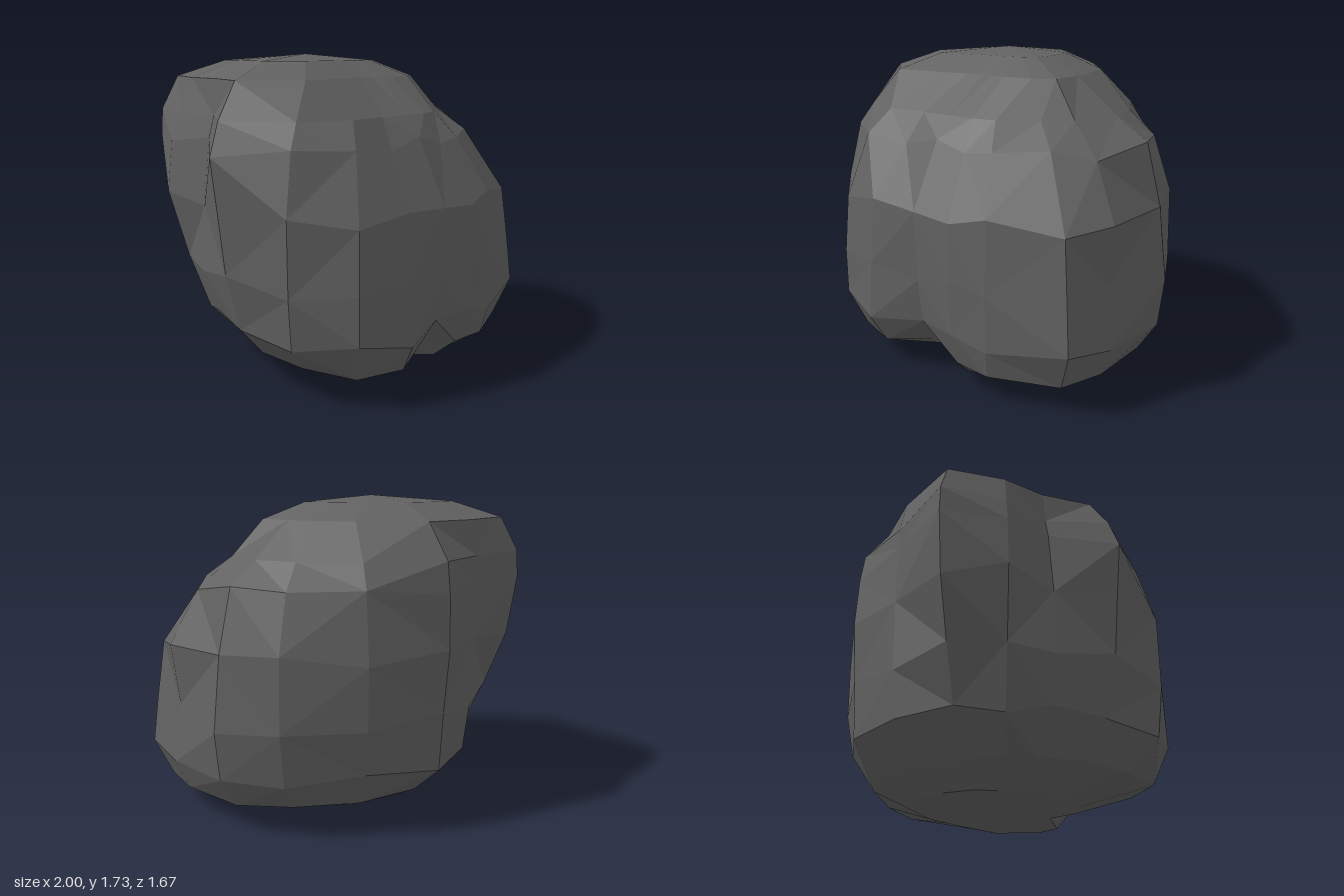
import * as THREE from 'three';

// Directions (degrees from +x towards +z) in which each cross-section is measured
const ANGLES = [0, 24, 39, 62, 76, 93, 113, 131, 151, 175, 195, 212, 231, 255, 280, 312, 340];

// Horizontal cross-sections from the base up: height and radius per direction
const RINGS = [
  { y: 0.03, r: [.43, .5, .6, .66, .62, .4, .48, .47, .4, .36, .34, .36, .38, .4, .43, .44, .43] },
  { y: 0.14, r: [.86, .93, .98, .85, .75, .54, .82, .88, .76, .67, .6, .58, .53, .58, .63, .66, .74] },
  { y: 0.32, r: [.97, 1, 1.08, .89, .82, .75, .91, .98, .94, .83, .78, .77, .75, .77, .8, .8, .87] },
  { y: 0.60, r: [1, .96, 1.05, .89, .83, .78, .89, .98, .98, .92, .86, .88, .88, .8, .82, .85, .92] },
  { y: 0.95, r: [.95, 1, 1, .86, .82, .79, .86, .95, .99, .96, .84, .98, 1, .81, .85, .86, .91] },
  { y: 1.27, r: [.86, .84, .75, .68, .63, .61, .66, .82, .91, 1, .8, .95, 1.05, .81, .84, .79, .81] },
  { y: 1.41, r: [.68, .64, .58, .55, .53, .51, .55, .69, .82, .94, .77, .9, 1.04, .81, .82, .71, .67] },
  { y: 1.60, r: [.43, .46, .4, .31, .28, .26, .29, .38, .66, .82, .75, .83, .94, .77, .69, .52, .44] },
];

function ringPoints({ y, r }, level) {
  // Chipped unevenness in height, on the middle rings only
  const rough = level > 1 && level < 6 ? 0.03 : 0;
  return r.map((radius, j) => {
    const a = THREE.MathUtils.degToRad(ANGLES[j]);
    return new THREE.Vector3(radius * Math.cos(a), y + rough * Math.sin(j * 2.4 + level * 1.7), radius * Math.sin(a));
  });
}

function rockGeometry() {
  const rings = RINGS.map(ringPoints);
  // Flattened crown: the last ring drawn in towards the summit
  const summit = new THREE.Vector3(-0.13, 1.725, -0.14);
  rings.push(rings[rings.length - 1].map((p) => p.clone().lerp(summit, 0.38).setY(1.69)));
  const base = new THREE.Vector3(0.05, 0, 0.1);

  const positions = [];
  const tri = (...points) => points.forEach((p) => positions.push(p.x, p.y, p.z));
  const n = ANGLES.length;
  const top = rings[rings.length - 1];
  for (let j = 0; j < n; j++) {
    const k = (j + 1) % n;
    // Sides, each facet split along its shorter diagonal
    for (let i = 0; i < rings.length - 1; i++) {
      const a = rings[i][j], b = rings[i][k], c = rings[i + 1][k], d = rings[i + 1][j];
      if (a.distanceTo(c) < b.distanceTo(d)) {
        tri(a, d, c);
        tri(a, c, b);
      } else {
        tri(a, d, b);
        tri(d, c, b);
      }
    }
    // Crown and underside
    tri(top[j], summit, top[k]);
    tri(rings[0][k], base, rings[0][j]);
  }
  const geometry = new THREE.BufferGeometry();
  geometry.setAttribute('position', new THREE.Float32BufferAttribute(positions, 3));
  geometry.computeVertexNormals();
  return geometry;
}

export function createModel() {
  const group = new THREE.Group();
  group.name = 'rock';
  const material = new THREE.MeshStandardMaterial({ color: 0x626262, flatShading: true });
  const boulder = new THREE.Mesh(rockGeometry(), material);
  boulder.name = 'boulder';
  group.add(boulder);
  return group;
}
